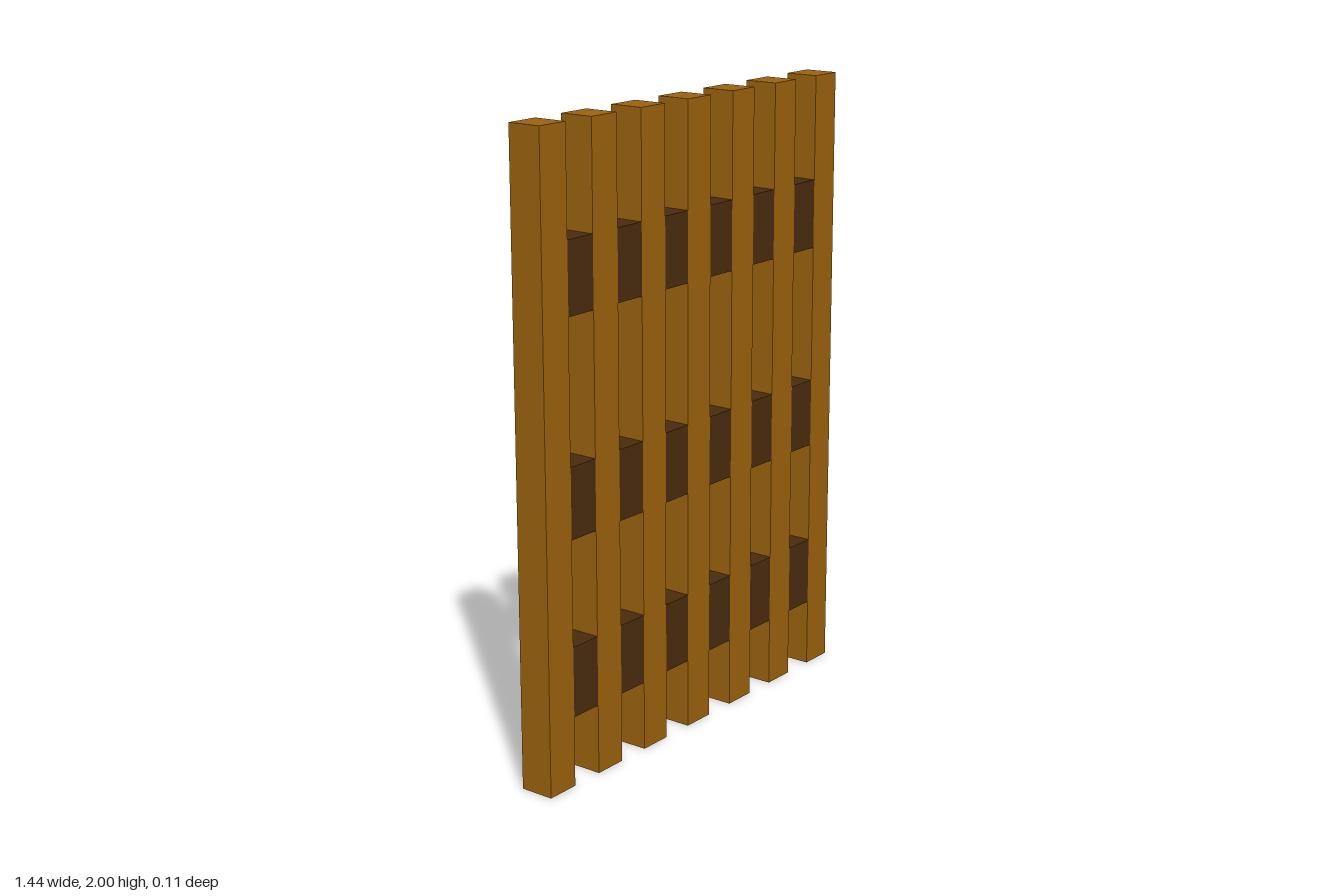
import * as THREE from 'three';

const U = 1 / 18; // base unit: the fence is 26 x 36 x 2 units

export function createModel() {
  const model = new THREE.Group();
  model.name = 'slattedFence';

  const slatWood = new THREE.MeshStandardMaterial({ name: 'slatWood', color: 0x9b620d });
  const railWood = new THREE.MeshStandardMaterial({ name: 'railWood', color: 0x4a2c0e });

  const addBox = (name, material, w, h, d, x, y) => {
    const mesh = new THREE.Mesh(new THREE.BoxGeometry(w * U, h * U, d * U), material);
    mesh.name = name;
    mesh.position.set(x * U, y * U, 0);
    model.add(mesh);
  };

  // Seven square upright slats, one slat width apart
  for (let i = -3; i <= 3; i++) addBox(`slat${i + 4}`, slatWood, 2, 36, 2, i * 4, 18);

  // Three rails, filling the gaps flush with the slats
  [6, 16, 28].forEach((y, row) => {
    for (let i = 0; i < 6; i++) addBox(`rail${row + 1}Segment${i + 1}`, railWood, 2, 4, 2, i * 4 - 10, y);
  });

  return model;
}
